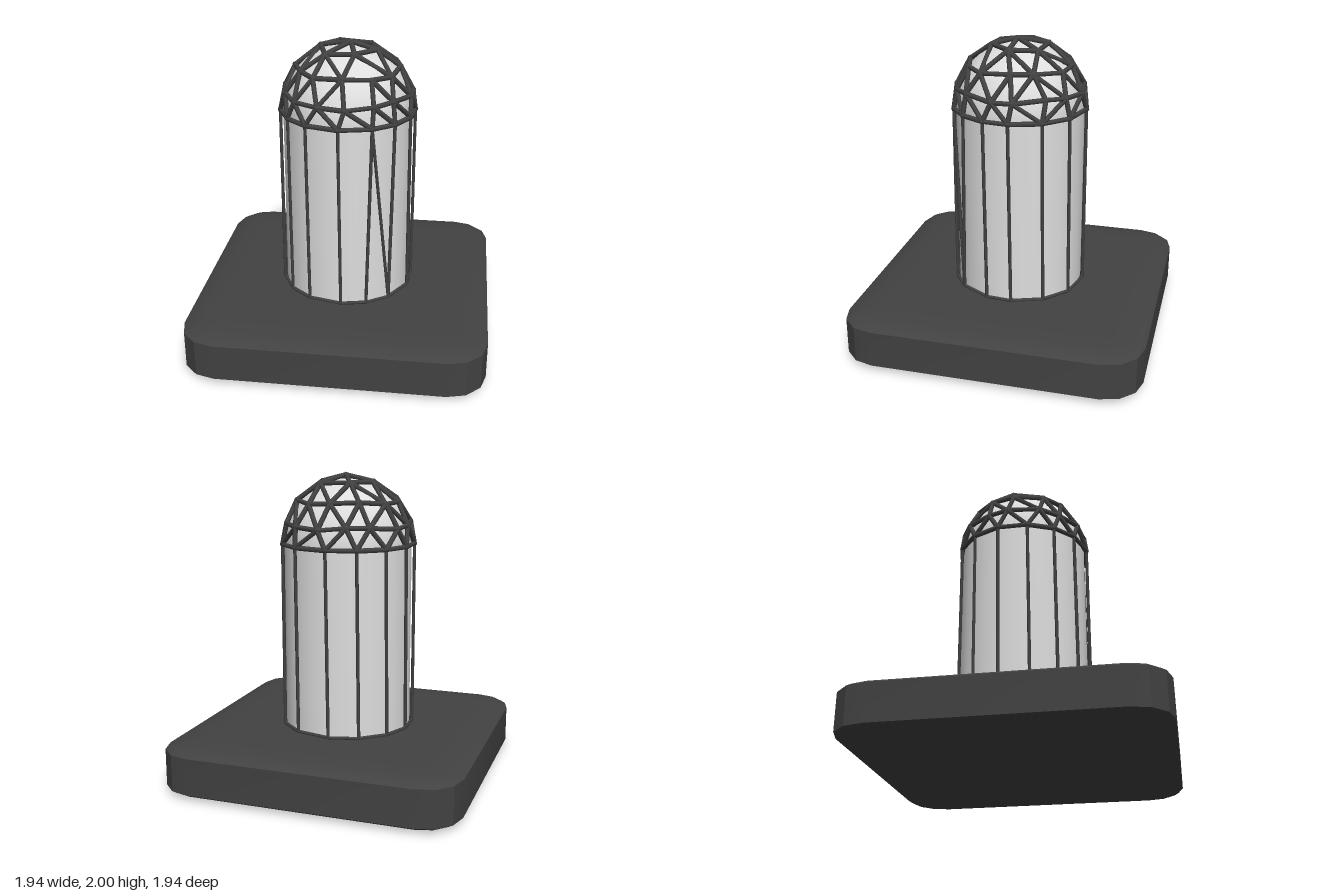
import * as THREE from 'three';
import { mergeGeometries, toCreasedNormals } from 'three/addons/utils/BufferGeometryUtils.js';

const RAD = Math.PI / 180;
const FRAME_R = 0.438;
const SPRING_Y = 1.54;

// Azimuth is measured from the front (+z) towards +x
function polar(azimuth, r, y) {
  return new THREE.Vector3(r * Math.sin(azimuth * RAD), y, r * Math.cos(azimuth * RAD));
}

function strut(a, b, radius) {
  const dir = b.clone().sub(a);
  const geo = new THREE.CylinderGeometry(radius, radius, dir.length(), 6, 1);
  const turn = new THREE.Quaternion().setFromUnitVectors(new THREE.Vector3(0, 1, 0), dir.normalize());
  const mid = a.clone().add(b).multiplyScalar(0.5);
  return geo.applyQuaternion(turn).translate(mid.x, mid.y, mid.z);
}

function hub(p, radius) {
  return new THREE.SphereGeometry(radius, 8, 6).translate(p.x, p.y, p.z);
}

function loopStruts(points, radius) {
  return points.map((p, i) => strut(p, points[(i + 1) % points.length], radius));
}

// Rounded square slab, softened with a wide shallow curve above and below
function slabGeometry() {
  const core = 0.727, round = 0.243, steps = 3;
  const levels = [];
  for (const s of [90, 60, 30, 0]) levels.push([round * Math.cos(s * RAD), 0.04 - 0.04 * Math.sin(s * RAD)]);
  for (const s of [0, 30, 60, 90]) levels.push([round * Math.cos(s * RAD), 0.28 + 0.04 * Math.sin(s * RAD)]);
  const pos = [], index = [];
  for (const [off, y] of levels) {
    for (let q = 0; q < 4; q++) {
      const sx = q === 0 || q === 3 ? 1 : -1, sz = q < 2 ? 1 : -1;
      for (let k = 0; k <= steps; k++) {
        const a = (q + k / steps) * Math.PI / 2;
        const r = Math.max(off, 0.01);
        pos.push(sx * core + r * Math.cos(a), y, sz * core + r * Math.sin(a));
      }
    }
  }
  const n = 4 * (steps + 1), last = (levels.length - 1) * n;
  const bottom = pos.length / 3, top = bottom + 1;
  pos.push(0, 0, 0, 0, 0.32, 0);
  for (let i = 0; i < n; i++) {
    const j = (i + 1) % n;
    for (let l = 0; l < last; l += n) {
      index.push(l + i, l + n + i, l + j, l + j, l + n + i, l + n + j);
    }
    index.push(bottom, i, j, top, last + j, last + i);
  }
  const geo = new THREE.BufferGeometry();
  geo.setAttribute('position', new THREE.Float32BufferAttribute(pos, 3));
  geo.setIndex(index);
  return toCreasedNormals(geo, 0.42);
}

// Pale column with a domed top
function bodyGeometry() {
  const r = 0.42;
  const profile = [new THREE.Vector2(r, 0.31)];
  for (let a = 0; a <= 90; a += 10) {
    profile.push(new THREE.Vector2(Math.max(r * Math.cos(a * RAD), 0.0001), SPRING_Y + r * Math.sin(a * RAD)));
  }
  return new THREE.LatheGeometry(profile, 28);
}

// Triangulated lattice: rings of hubs, zipped together row by row
function domeGeometry(baseAzimuths) {
  const radius = 0.016;
  const ring = (count, start, elevation) => Array.from({ length: count }, (_, i) => ({
    az: start + i * 360 / count + (i ? 3 * Math.sin(i * 2.7) : 0),
    el: elevation + 1.5 * Math.sin(i * 1.9 + elevation),
  }));
  const rings = [
    baseAzimuths.map((az) => ({ az, el: 0 })),
    ring(15, 4, 17), ring(12, 1, 39), ring(6, 20, 64),
  ];
  const place = (p) => polar(p.az, FRAME_R * Math.cos(p.el * RAD), SPRING_Y + 0.444 * Math.sin(p.el * RAD));
  const parts = [];
  for (const nodes of rings) {
    const pts = nodes.map(place);
    parts.push(...loopStruts(pts, radius), ...pts.map((p) => hub(p, radius * 1.1)));
  }
  for (let row = 0; row < 3; row++) {
    const a = rings[row], b = rings[row + 1];
    const azimuth = (nodes, i) => nodes[i % nodes.length].az + 360 * Math.floor(i / nodes.length);
    let i = 0, j = 0;
    for (let step = 0; step < a.length + b.length; step++) {
      // a few open panels
      if (!(row > 0 && step === 1)) parts.push(strut(place(a[i % a.length]), place(b[j % b.length]), radius));
      if (j >= b.length || (i < a.length && azimuth(a, i + 1) <= azimuth(b, j + 1))) i++;
      else j++;
    }
  }
  // crown
  const apex = new THREE.Vector3(0.02, SPRING_Y + 0.443, 0.01);
  parts.push(hub(apex, radius * 1.1), ...rings[3].map((p) => strut(apex, place(p), radius)));
  return mergeGeometries(parts);
}

// Upright bars, slightly leaning, with one diagonal brace and a foot ring
function cageGeometry(topAz, bottomAz) {
  const radius = 0.011;
  const tops = topAz.map((a) => polar(a, FRAME_R, SPRING_Y));
  const feet = bottomAz.map((a) => polar(a, FRAME_R, 0.328));
  return mergeGeometries([
    ...tops.map((p, i) => strut(p, feet[i], radius)),
    strut(tops[1], feet[2], radius),
    ...loopStruts(feet, radius),
  ]);
}

export function createModel() {
  const dark = new THREE.MeshStandardMaterial({ color: 0x424242 });
  dark.name = 'charcoal';
  const pale = new THREE.MeshStandardMaterial({ color: 0xdedede });
  pale.name = 'pale grey';

  const topAz = [-1, 27, 49, 72, 94, 122, 149, 180, 206, 232, 257, 283, 307, 330];
  const bottomAz = topAz.map((a, i) => (i === 1 ? 23 : i === 2 ? 45 : a + 2));

  const model = new THREE.Group();
  const add = (name, geometry, material) => {
    const mesh = new THREE.Mesh(geometry, material);
    mesh.name = name;
    model.add(mesh);
  };
  add('base', slabGeometry(), dark);
  add('domedColumn', bodyGeometry(), pale);
  add('cageBars', cageGeometry(topAz, bottomAz), dark);
  add('domeLattice', domeGeometry(topAz), dark);
  return model;
}
